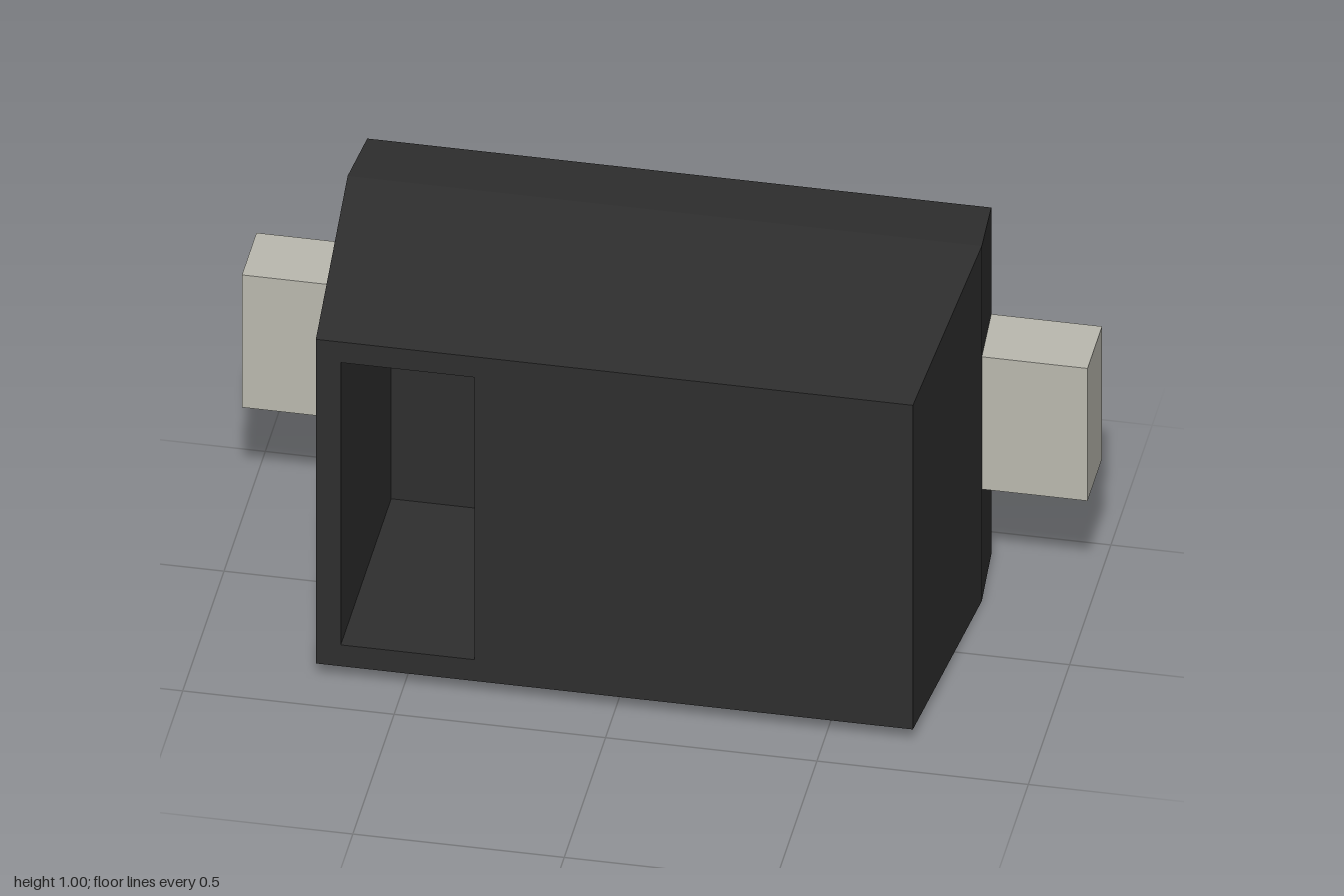
import * as THREE from 'three';

// Rectangular cross-section at depth z, counter-clockwise seen from the front
const ring = (x0, x1, y0, y1, z) => [[x0, y0, z], [x1, y0, z], [x1, y1, z], [x0, y1, z]];

// Joins successive four-cornered rings with flat faces and caps both ends
function loft(rings) {
  const pos = [];
  const quad = (a, b, c, d) => [a, b, c, a, c, d].forEach((p) => pos.push(...p));
  const first = rings[0];
  const last = rings[rings.length - 1];
  quad(first[3], first[2], first[1], first[0]);
  for (let r = 0; r < rings.length - 1; r++) {
    const a = rings[r];
    const b = rings[r + 1];
    for (let i = 0; i < 4; i++) {
      const j = (i + 1) % 4;
      quad(a[i], a[j], b[j], b[i]);
    }
  }
  quad(...last);
  const geometry = new THREE.BufferGeometry();
  geometry.setAttribute('position', new THREE.Float32BufferAttribute(pos, 3));
  geometry.computeVertexNormals();
  return geometry;
}

export function createModel() {
  const group = new THREE.Group();
  const casing = new THREE.MeshStandardMaterial({ color: 0x2e2e2e });
  casing.name = 'blackCasing';
  const metal = new THREE.MeshStandardMaterial({ color: 0xbab9af });
  metal.name = 'paleMetal';

  // Tapered casing, widest near the back, with a deep slot in the front
  const body = new THREE.Mesh(loft([
    ring(-0.738, 0.738, 0.012, 0.988, -0.393),
    ring(-0.75, 0.75, 0, 1, -0.217),
    ring(-0.706, 0.706, 0.044, 0.957, 0.393),
    ring(-0.647, -0.331, 0.104, 0.899, 0.393),
    ring(-0.647, -0.331, 0.104, 0.899, -0.217),
  ]), casing);
  body.name = 'casing';
  group.add(body);

  // Metal terminals on both sides, flush with the back
  for (const [side, name] of [[1, 'leftTerminal'], [-1, 'rightTerminal']]) {
    const terminal = new THREE.Mesh(new THREE.BoxGeometry(0.262, 0.373, 0.176), metal);
    terminal.position.set(side * 0.869, 0.5015, -0.305);
    terminal.name = name;
    group.add(terminal);
  }
  return group;
}
